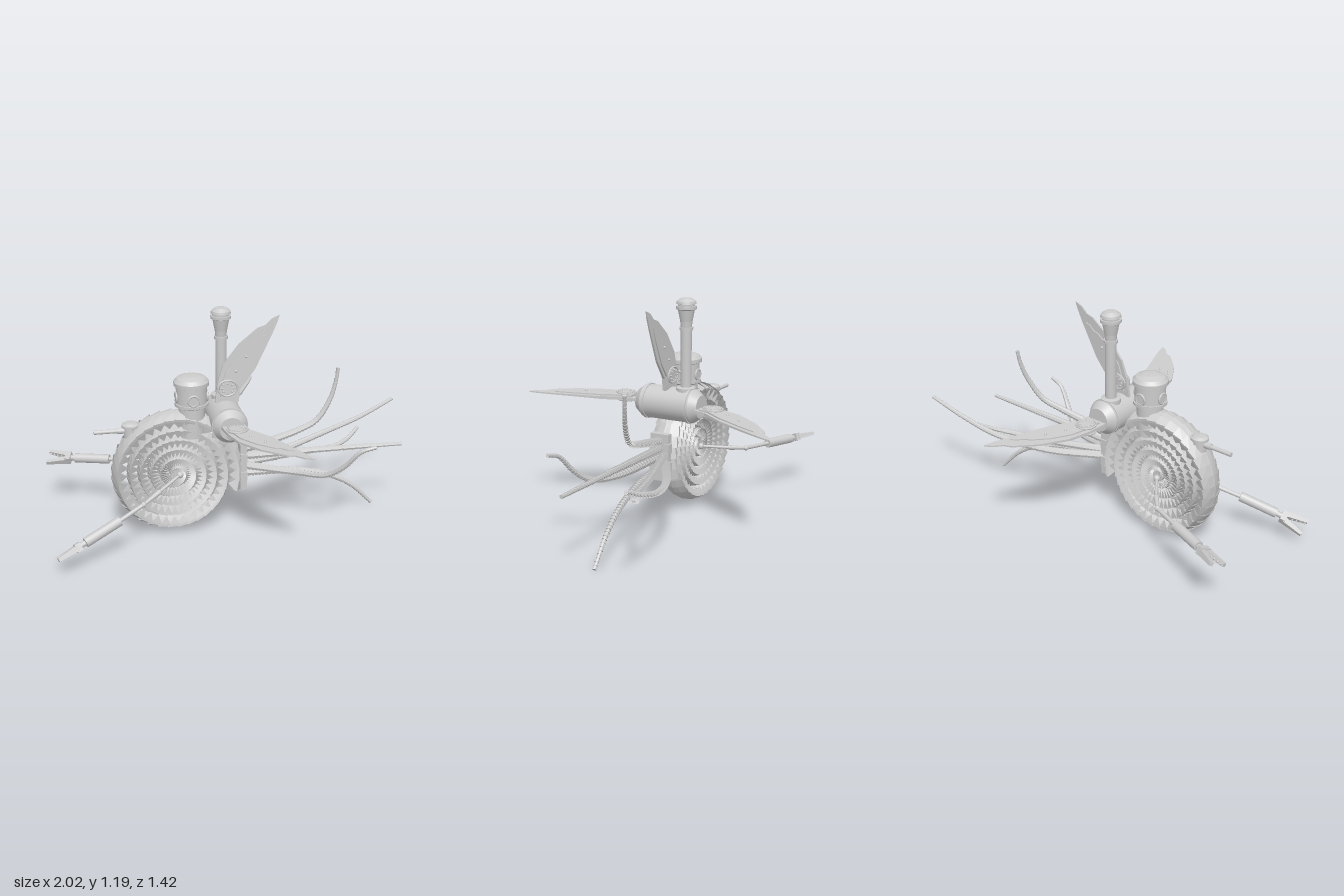
import * as THREE from 'three';

const V = (x, y, z) => new THREE.Vector3(x, y, z);
const mat = new THREE.MeshStandardMaterial({ color: 0xcccccc, side: THREE.DoubleSide });
const flat = new THREE.MeshStandardMaterial({ color: 0xcccccc, side: THREE.DoubleSide, flatShading: true });

function add(parent, name, geo, pos = [0, 0, 0], rot = [0, 0, 0], m = mat) {
  const mesh = new THREE.Mesh(geo, m);
  mesh.name = name;
  mesh.position.set(...pos);
  mesh.rotation.set(...rot);
  parent.add(mesh);
  return mesh;
}

function group(parent, name, pos = [0, 0, 0]) {
  const g = new THREE.Group();
  g.name = name;
  g.position.set(...pos);
  parent.add(g);
  return g;
}

// Lathe with crisp edges: every inner profile point is doubled
function turned(profile, sides = 32) {
  const pts = profile.flatMap(([r, y], i) =>
    Array.from({ length: i && i < profile.length - 1 ? 2 : 1 }, () => new THREE.Vector2(r, y)));
  return new THREE.LatheGeometry(pts, sides);
}

function rod(parent, name, a, b, r0, r1 = r0) {
  const mesh = add(parent, name, new THREE.CylinderGeometry(r1, r0, a.distanceTo(b), 14));
  mesh.position.copy(a).lerp(b, 0.5);
  mesh.quaternion.setFromUnitVectors(V(0, 1, 0), b.clone().sub(a).normalize());
}

function surface(pos, index) {
  const g = new THREE.BufferGeometry();
  g.setAttribute('position', new THREE.Float32BufferAttribute(pos, 3));
  if (index) g.setIndex(index);
  g.computeVertexNormals();
  return g;
}

// Coiled shell: overlapping armour plates with pointed inner teeth along a spiral
function shellGeometry() {
  const perTurn = 36, pos = [];
  const tri = (...p) => p.forEach(q => pos.push(...q));
  const quad = (a, b, c, d) => tri(a, b, c, a, c, d);
  const step = t => THREE.MathUtils.smoothstep(t, 0.6, 1.4);
  for (let i = 0; i < perTurn * 5.8; i++) {
    const t0 = i / perTurn, s = step(t0);
    const r = 0.37 - 0.055 * t0 - 0.025 * s;
    const w = 0.08 * (0.55 + 0.45 * r / 0.37);
    const base = Math.min(0.045 - 0.02 * s, r * 0.6), tip = Math.min(base + 0.04, r * 0.95);
    const at = (k, depth, z) => {
      const a = -0.33 + (t0 + k / perTurn) * Math.PI * 2;
      return [(r - depth) * Math.cos(a), (r - depth) * Math.sin(a), z];
    };
    for (const side of [-1, 1]) {
      // front edge flares wider than the rear edge
      const row = (k, f) => [at(k, 0.009 * (1 - f), 0), at(k, 0.006 + 0.009 * (1 - f), side * w * 0.45 * (0.75 + 0.25 * f)),
        at(k, base * 0.7, side * w * (0.84 + 0.16 * f)), at(k, base, side * w * (0.8 + 0.16 * f))];
      const p = row(0, 1), q = row(1.12, 0);
      for (let j = 0; j < 3; j++) quad(p[j], p[j + 1], q[j + 1], q[j]);
      tri(p[3], q[3], at(0.5, tip, side * w * 0.7));
    }
  }
  return surface(pos);
}

// Ringed tentacle: saw-tooth rings swept along a curve
function tentacleGeometry(points) {
  const curve = new THREE.CatmullRomCurve3(points.map(p => V(...p)));
  const segs = Math.round(curve.getLength() * 52), sides = 8, pos = [], index = [];
  const frames = curve.computeFrenetFrames(segs);
  let ring = 0;
  const addRing = (c, n, b, r) => {
    for (let j = 0; j < sides; j++) {
      const a = j / sides * Math.PI * 2;
      const p = c.clone().addScaledVector(n, r * Math.cos(a)).addScaledVector(b, r * Math.sin(a));
      pos.push(p.x, p.y, p.z);
      if (ring) {
        const k = (ring - 1) * sides, l = (j + 1) % sides;
        index.push(k + j, k + l, k + sides + l, k + j, k + sides + l, k + sides + j);
      }
    }
    ring++;
  };
  for (let i = 0; i <= segs; i++) {
    const r = 0.026 - 0.015 * i / segs, c = curve.getPointAt(i / segs);
    addRing(c, frames.normals[i], frames.binormals[i], r);
    addRing(c, frames.normals[i], frames.binormals[i], i === segs ? 0 : r * 0.76);
  }
  return surface(pos, index);
}

// Wing: tapered blade, raised panel and bolted hub, growing along +y
function buildWing(parent, name) {
  const g = group(parent, name);
  const outline = [[-.05, .17], [-.035, .3], [-.005, .41], [.08, .54], [.18, .635], [.22, .65], [.255, .69], [.295, .71],
    [.285, .67], [.255, .59], [.165, .375], [.085, .25], [.075, .17]];
  const blade = (k, depth) => {
    const shape = new THREE.Shape(outline.map(([x, y]) => new THREE.Vector2(.05 + (x - .05) * k, .3 + (y - .3) * k)));
    const geo = new THREE.ExtrudeGeometry(shape, { depth, bevelEnabled: false }).translate(0, 0, -depth / 2);
    const p = geo.attributes.position;
    for (let i = 0; i < p.count; i++) p.setZ(i, p.getZ(i) * (1.15 - 1.3 * (p.getY(i) - .17)));
    geo.computeVertexNormals();
    return geo;
  };
  add(g, 'wingBlade', blade(1, .014));
  add(g, 'wingPanel', blade(.72, .03));
  add(g, 'wingHub', new THREE.CylinderGeometry(.042, .042, .042, 24), [.016, .265, 0], [Math.PI / 2, 0, 0]);
  for (const s of [-1, 1]) {
    add(g, 'hubRing', new THREE.TorusGeometry(.05, .006, 6, 24), [.016, .265, s * .017]);
    for (let i = 0; i < 8; i++) {
      const a = i * Math.PI / 4;
      add(g, 'hubBolt', new THREE.SphereGeometry(.006, 8, 6), [.016 + .032 * Math.cos(a), .265 + .032 * Math.sin(a), s * .022]);
    }
    for (const y of [.37, .46]) add(g, 'rivet', new THREE.SphereGeometry(.008, 8, 6), [.02 + (y - .3) * .6, y, s * .013]);
  }
  return g;
}

// Mechanical arm: thin links, elbow, piston and toothed claw
function buildArm(parent, name, [shoulder, link, elbow, p0, p1, tip], roll) {
  const g = group(parent, name);
  rod(g, 'upperLink', shoulder, link, .008);
  rod(g, 'middleLink', link, elbow, .014, .008);
  for (const [p, r] of [[shoulder, .018], [link, .012], [elbow, .015]])
    add(g, 'joint', new THREE.SphereGeometry(r, 14, 10), p.toArray());
  rod(g, 'forearm', elbow, p0, .011);
  rod(g, 'piston', p0, p1, .026);
  rod(g, 'wrist', p1, p1.clone().lerp(tip, .25), .015);
  const claw = group(g, 'claw', p1.clone().lerp(tip, .2).toArray());
  claw.lookAt(tip);
  claw.rotateZ(roll);
  add(claw, 'palm', new THREE.BoxGeometry(.058, .042, .03), [0, 0, .012], [0, 0, 0], flat);
  for (const s of [-1, 1]) {
    const jaw = group(claw, 'jaw', [s * .018, 0, .02]);
    jaw.rotation.y = s * .2;
    add(jaw, 'jawPlate', new THREE.CylinderGeometry(.013, .022, .115, 4).rotateY(Math.PI / 4).rotateX(Math.PI / 2),
      [0, 0, .055], [0, 0, 0], flat);
    for (let i = 0; i < 4; i++)
      add(jaw, 'jawTooth', new THREE.ConeGeometry(.009, .018, 4), [-s * .016, 0, .035 + i * .022], [0, 0, s * Math.PI / 2], flat);
  }
}

export function createModel() {
  const model = new THREE.Group();

  // Shell
  const shell = group(model, 'shell', [-.35, .345, 0]);
  add(shell, 'shellPlates', shellGeometry(), [0, 0, 0], [0, 0, 0], flat);
  add(shell, 'shellCore', new THREE.CylinderGeometry(.03, .03, .09, 16), [0, 0, 0], [Math.PI / 2, 0, 0]);
  for (let i = 0; i < 5; i++)
    add(model, 'mouthPlate', new THREE.BoxGeometry(.036, .05, .108 + .01 * (i % 2)), [.012, .255 + i * .052, 0], [0, 0, 0], flat);

  // Tentacles
  [
    [[0, .44, 0], [.15, .47, -.01], [.33, .51, -.04], [.44, .55, -.07], [.52, .65, -.1], [.555, .74, -.12], [.57, .82, -.13]],
    [[0, .33, -.02], [.3, .335, -.2], [.57, .375, -.31], [.78, .43, -.355], [.99, .512, -.4]],
    [[0, .36, -.01], [.35, .34, -.125], [.57, .335, -.18], [.67, .35, -.235], [.755, .385, -.31]],
    [[0, .31, 0], [.28, .285, -.025], [.49, .235, -.05], [.65, .145, -.07], [.78, .015, -.085]],
    [[0, .405, 0], [.4, .405, 0], [.91, .4, 0]],
    [[0, .36, .01], [.3, .32, .085], [.44, .325, .16], [.52, .385, .205], [.6, .475, .235], [.68, .5, .245]],
  ].forEach((path, i) => add(model, 'tentacle' + (i + 1), tentacleGeometry(path), [0, 0, 0], [0, 0, 0], flat));

  // Lookout turret with portholes
  const turret = group(model, 'turret', [-.255, 0, .003]);
  add(turret, 'turretBody', turned([[0, .55], [.068, .55], [.068, .71], [.088, .72], [.088, .735], [.08, .735], [.08, .825],
    [.092, .83], [.092, .85], [.075, .868], [.04, .88], [0, .882]], 40));
  for (let i = 0; i < 4; i++) {
    const a = i * Math.PI / 2, p = [.08 * Math.sin(a), .765, .08 * Math.cos(a)];
    add(turret, 'porthole', new THREE.TorusGeometry(.027, .006, 8, 24), p, [0, a, 0]);
    add(turret, 'portholeGlass', new THREE.CylinderGeometry(.027, .027, .008, 24).rotateX(Math.PI / 2), p, [0, a, 0]);
  }

  // Cross-mounted tank
  const tank = group(model, 'tank', [-.076, .635, -.01]);
  add(tank, 'tankBody', turned([[0, -.185], [.062, -.185], [.09, -.145], [.09, -.135], [.095, -.135], [.095, -.12], [.09, -.12],
    [.09, .12], [.095, .12], [.095, .135], [.09, .135], [.09, .145], [.062, .185], [0, .185]], 40), [0, 0, 0], [Math.PI / 2, 0, 0]);

  // Smokestack
  add(model, 'smokestack', turned([[0, .68], [.052, .68], [.052, .73], [.029, .735], [.029, 1.035], [.036, 1.035], [.036, 1.05],
    [.029, 1.05], [.032, 1.08], [.044, 1.14], [.054, 1.145], [.054, 1.16], [.044, 1.16], [.044, 1.17], [.053, 1.172],
    [.05, 1.185], [.03, 1.2], [0, 1.202]], 28), [-.08, 0, -.1]);

  // Three wings set at right angles on a slightly tilted axis
  const wings = group(model, 'wings', [-.08, .635, -.005]);
  wings.rotation.x = -.056;
  buildWing(wings, 'leftWing').rotation.x = Math.PI / 2;
  buildWing(wings, 'rightWing').rotation.x = -Math.PI / 2;
  const top = buildWing(wings, 'topWing');
  top.scale.y = .83;
  top.position.y = -.06;

  // Small forward gun
  const gun = group(model, 'gun', [-.575, 0, 0]);
  add(gun, 'gunMount', turned([[0, .5], [.036, .5], [.036, .615], [.046, .62], [.046, .632], [.03, .642], [0, .645]], 24));
  rod(gun, 'gunBarrel', V(0, .6, 0), V(-.19, .6, 0), .011);
  rod(gun, 'gunSleeve', V(0, .6, 0), V(-.07, .6, 0), .016);

  // Arms
  buildArm(model, 'frontArm', [V(-.33, .345, .05), V(-.45, .295, .13), V(-.54, .26, .19), V(-.67, .213, .255),
    V(-.85, .148, .33), V(-.985, .095, .375)], .5);
  buildArm(model, 'backArm', [V(-.35, .335, -.05), V(-.45, .32, -.18), V(-.515, .312, -.25), V(-.675, .308, -.31),
    V(-.86, .303, -.375), V(-.985, .298, -.42)], -.4);

  return model;
}
